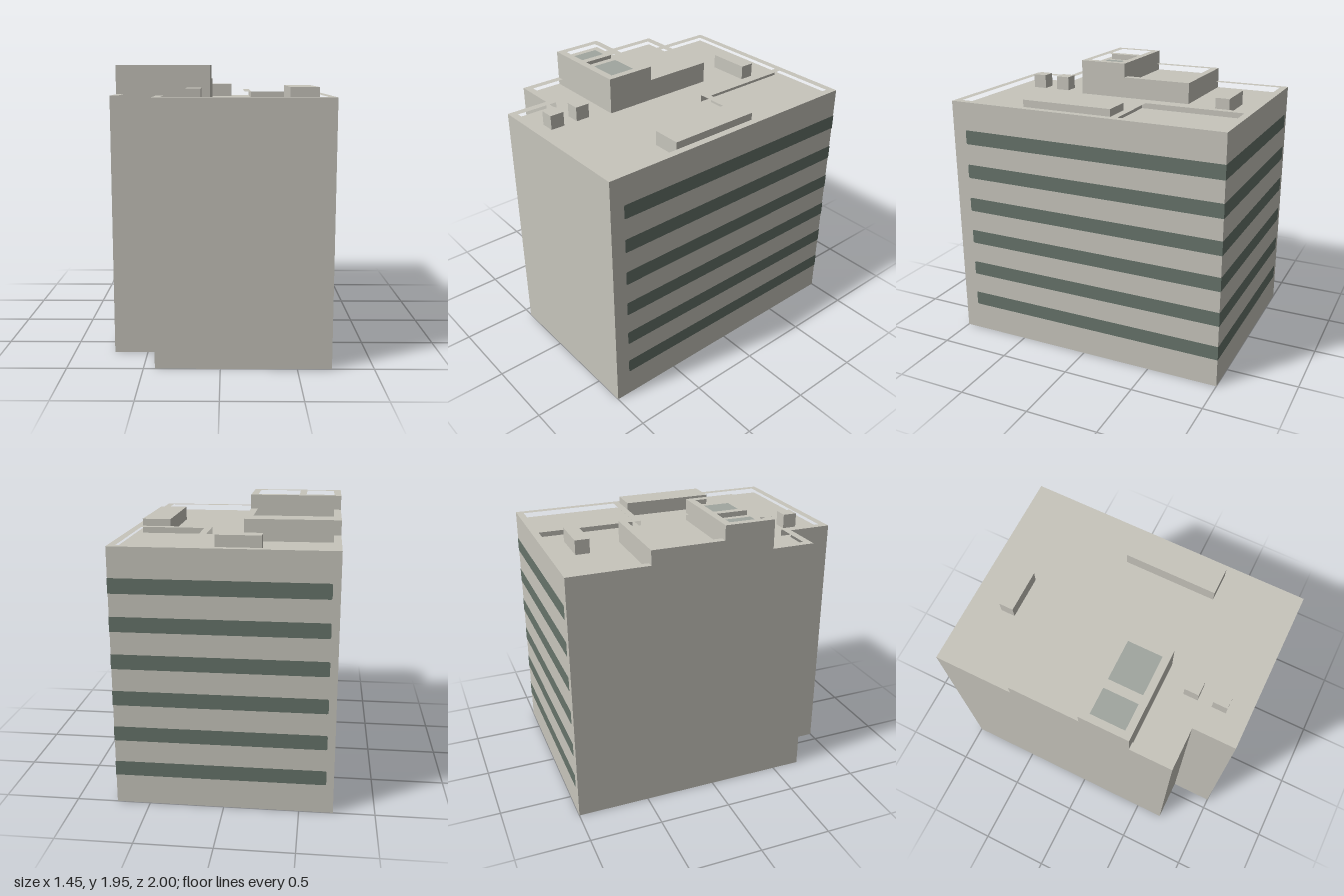
import * as THREE from 'three';

const material = (name, color) => {
  const m = new THREE.MeshStandardMaterial({ color });
  m.name = name;
  return m;
};

// Rectangle in plan as [x, z] corners
const rect = (x0, x1, z0, z1) => [[x0, z0], [x1, z0], [x1, z1], [x0, z1]];

// Vertical prism from a plan outline, with optional holes
function prism(outline, y0, y1, holes = []) {
  const points = (list) => list.map(([x, z]) => new THREE.Vector2(x, -z));
  const shape = new THREE.Shape(points(outline));
  holes.forEach((h) => shape.holes.push(new THREE.Path(points(h))));
  return new THREE.ExtrudeGeometry(shape, { depth: y1 - y0, bevelEnabled: false })
    .rotateX(-Math.PI / 2)
    .translate(0, y0, 0);
}

// Window band: square at the start, slightly rounded at the far end
function bandGeometry(length, height, r = 0.012) {
  const s = new THREE.Shape();
  s.moveTo(0, 0);
  s.lineTo(length - r, 0);
  s.quadraticCurveTo(length, 0, length, r);
  s.lineTo(length, height - r);
  s.quadraticCurveTo(length, height, length - r, height);
  s.lineTo(0, height);
  return new THREE.ShapeGeometry(s, 4);
}

export function createModel() {
  const concrete = material('concrete', 0xc7c5bc);
  const glass = material('windowGlass', 0x66736a);
  const skylight = material('skylight', 0xa0a69f);

  const model = new THREE.Group();
  model.name = 'officeBuilding';
  const add = (name, geometry, mat = concrete) => {
    const mesh = new THREE.Mesh(geometry, mat);
    mesh.name = name;
    model.add(mesh);
    return mesh;
  };

  const X = 0.725, ROOF = 1.7, RIM = 1.75;

  // Main block with a notched front corner, and its parapet
  const footprint = [[-X, -1], [X, -1], [X, 1], [-0.425, 1], [-0.425, 0.7], [-X, 0.7]];
  const mainRoof = [
    [-0.675, -0.95], [0.175, -0.95], [0.175, -0.2], [0.675, -0.2],
    [0.675, 0.95], [-0.375, 0.95], [-0.375, 0.65], [-0.675, 0.65],
  ];
  add('mainBlock', prism(footprint, 0, ROOF));
  add('parapet', prism(footprint, ROOF, RIM, [mainRoof, rect(0.225, 0.675, -0.95, -0.25)]));

  // Stepped penthouse with rimmed roofs
  const low = rect(-X, -0.075, -0.45, 0.05);
  add('lowerPenthouse', prism(low, ROOF, 1.8));
  add('lowerPenthouseRim', prism(low, 1.8, 1.85, [rect(-0.675, -0.125, -0.4, 0.05)]));

  const high = rect(-X, -0.075, 0.05, 0.4);
  const wells = [rect(-0.675, -0.475, 0.1, 0.35), rect(-0.425, -0.125, 0.1, 0.35)];
  add('upperPenthouse', prism(high, ROOF, 1.9));
  add('upperPenthouseRim', prism(high, 1.9, 1.95, wells));
  wells.forEach((w) => add('skylight', prism(w, 1.9, 1.903), skylight));

  // Rooftop plant boxes
  add('longRoofUnit', prism(rect(0.475, 0.675, -0.2, 0.45), ROOF, 1.8));
  add('rearRoofUnit', prism(rect(-0.225, 0.075, -0.8, -0.7), ROOF, 1.8));
  for (const z of [0.55, 0.75]) {
    add('smallRoofUnit', prism(rect(-0.225, -0.125, z, z + 0.1), ROOF, 1.8));
  }

  // Window bands wrapping the rear corner, one per floor
  const gap = 0.002;
  const sideBand = bandGeometry(1.9 + gap, 0.1);
  const backBand = bandGeometry(1.4 + gap, 0.1);
  // Side bands run from the rear corner forward, so they are mirrored in plan
  sideBand.scale(-1, 1, 1);
  const index = sideBand.index.array;
  for (let i = 0; i < index.length; i += 3) {
    [index[i], index[i + 1]] = [index[i + 1], index[i]];
  }
  sideBand.computeVertexNormals();

  for (let floor = 0; floor < 6; floor++) {
    const y = 0.2 + floor * 0.25;
    const side = add('sideWindowBand', sideBand, glass);
    side.rotation.y = Math.PI / 2;
    side.position.set(X + gap, y, -1 - gap);
    const back = add('backWindowBand', backBand, glass);
    back.rotation.y = Math.PI;
    back.position.set(X + gap, y, -1 - gap);
  }
  return model;
}
